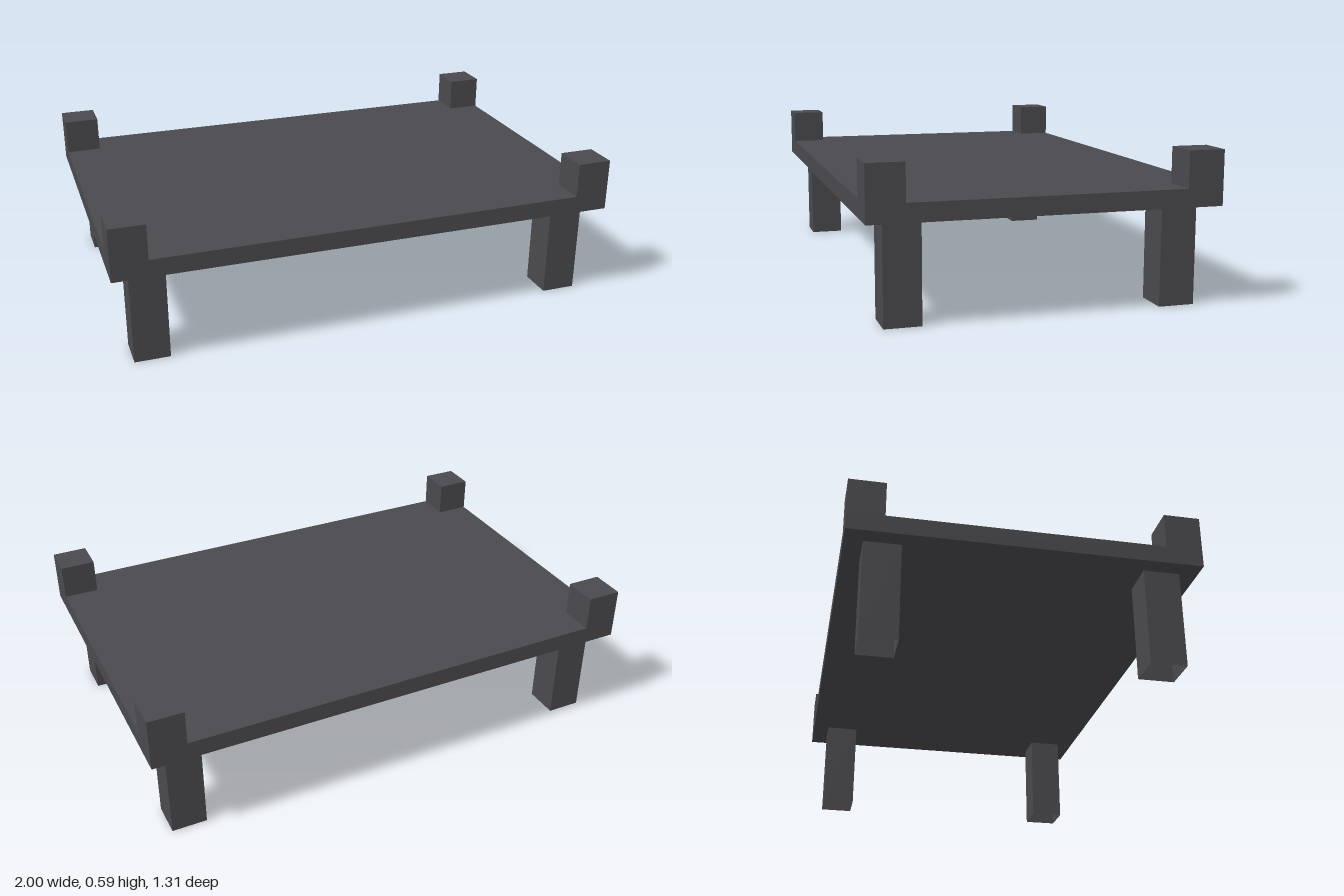
import * as THREE from 'three';

// Everything sits on a small modular grid: the top is 29 x 19 units
const U = 2 / 29;

// Box without its top and bottom faces (open tube)
function openBox(w, h, d) {
  const geometry = new THREE.BoxGeometry(w, h, d);
  const index = Array.from(geometry.index.array);
  geometry.setIndex([...index.slice(0, 12), ...index.slice(24, 36)]);
  geometry.clearGroups();
  return geometry;
}

export function createModel() {
  const group = new THREE.Group();
  group.name = 'lowTable';
  const charcoal = new THREE.MeshStandardMaterial({ color: 0x4a494d, side: THREE.DoubleSide });
  charcoal.name = 'charcoal';

  function add(name, geometry, x, y, z) {
    const mesh = new THREE.Mesh(geometry, charcoal);
    mesh.name = name;
    mesh.position.set(x * U, y * U, z * U);
    group.add(mesh);
  }

  // Flat top
  add('tableTop', new THREE.BoxGeometry(29 * U, U, 19 * U), 0, 6, 0);

  // Hollow legs set in from the edge, and corner blocks flush with it
  const legGeometry = openBox(2 * U, 5.5 * U, 2 * U);
  const blockGeometry = new THREE.BoxGeometry(2 * U, 2 * U, 2 * U);
  for (const sx of [-1, 1]) {
    for (const sz of [-1, 1]) {
      const place = (sz > 0 ? 'Front' : 'Back') + (sx > 0 ? 'Left' : 'Right');
      add('leg' + place, legGeometry, sx * 12.5, 2.75, sz * 7.5);
      add('cornerBlock' + place, blockGeometry, sx * 13.5, 7.5, sz * 8.5);
    }
  }
  return group;
}
